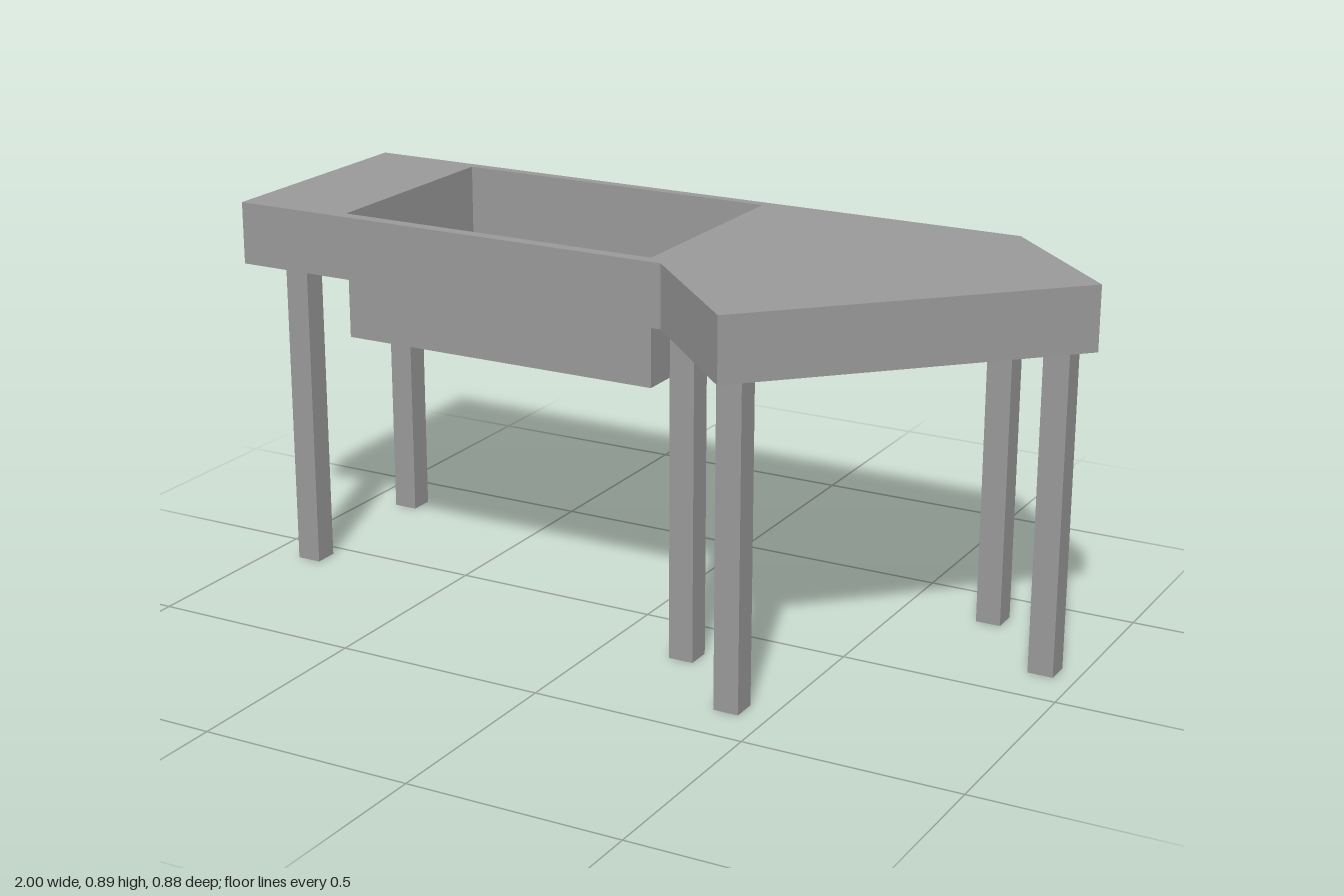
import * as THREE from 'three';

export function createModel() {
  const group = new THREE.Group();
  const grey = new THREE.MeshStandardMaterial({ color: 0x999999, side: THREE.DoubleSide });
  grey.name = 'plain grey';

  const slabBottom = 0.745, slabTop = 0.893;
  const basin = { x0: -0.725, x1: 0.075, z0: -0.415, z1: 0.12, y: 0.597 };

  function add(name, geometry, x = 0, y = 0, z = 0) {
    const mesh = new THREE.Mesh(geometry, grey);
    mesh.name = name;
    mesh.position.set(x, y, z);
    group.add(mesh);
    return mesh;
  }

  // Shapes are drawn in (x, -z) and laid flat when extruded upward
  const points = (list) => list.map(([x, z]) => new THREE.Vector2(x, -z));
  const basinRim = points([
    [basin.x0, basin.z0], [basin.x1, basin.z0], [basin.x1, basin.z1], [basin.x0, basin.z1],
  ]);

  // Tabletop with angled end and basin opening
  const outline = new THREE.Shape(points([
    [-1, 0.15], [0.115, 0.15], [0.405, 0.44], [1, -0.15], [0.705, -0.44], [-1, -0.44],
  ]));
  outline.holes.push(new THREE.Path(basinRim));
  const top = new THREE.ExtrudeGeometry(outline, { depth: slabTop - slabBottom, bevelEnabled: false });
  top.rotateX(-Math.PI / 2);
  add('tabletop', top, 0, slabBottom, 0);

  // Thin-walled basin hanging below the opening
  const w = basin.x1 - basin.x0, d = basin.z1 - basin.z0, h = slabBottom - basin.y;
  const cx = (basin.x0 + basin.x1) / 2, cz = (basin.z0 + basin.z1) / 2, cy = basin.y + h / 2;
  add('basinFloor', new THREE.PlaneGeometry(w, d).rotateX(Math.PI / 2), cx, basin.y, cz);
  add('basinFrontWall', new THREE.PlaneGeometry(w, h), cx, cy, basin.z1);
  add('basinBackWall', new THREE.PlaneGeometry(w, h).rotateY(Math.PI), cx, cy, basin.z0);
  add('basinLeftWall', new THREE.PlaneGeometry(d, h).rotateY(Math.PI / 2), basin.x1, cy, cz);
  add('basinRightWall', new THREE.PlaneGeometry(d, h).rotateY(-Math.PI / 2), basin.x0, cy, cz);

  // Square legs
  const legHeight = 0.741;
  const legGeometry = new THREE.BoxGeometry(0.059, legHeight, 0.059);
  const legs = [
    [-0.89, 0.068], [-0.89, -0.352], [0.192, 0.165],
    [0.406, 0.36], [0.92, -0.148], [0.71, -0.362],
  ];
  legs.forEach(([x, z], i) => add(`leg${i + 1}`, legGeometry, x, legHeight / 2, z));

  return group;
}
